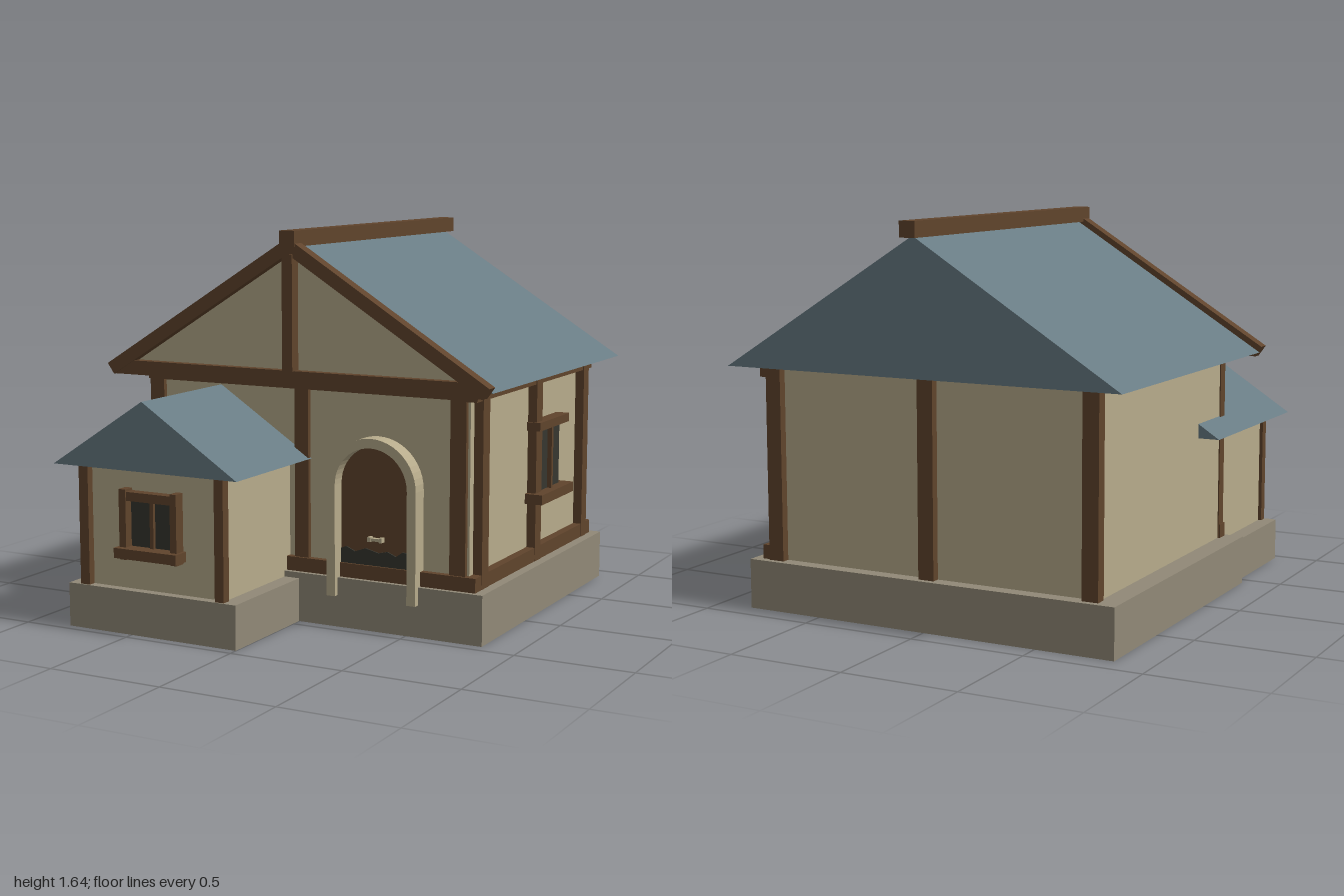
import * as THREE from 'three';

const mat = (name, color) => {
  const m = new THREE.MeshStandardMaterial({ color });
  m.name = name;
  return m;
};

export function createModel() {
  const plaster = mat('plaster', 0xb7ab8b);
  const stone = mat('stone', 0x918977);
  const wood = mat('timber', 0x60442c);
  const slate = mat('slate', 0x687b83);
  const glass = mat('darkGlass', 0x36362f);

  const house = new THREE.Group();
  house.name = 'house';

  const group = (name) => {
    const g = new THREE.Group();
    g.name = name;
    house.add(g);
    return g;
  };
  const add = (parent, name, geo, material) => {
    const m = new THREE.Mesh(geo, material);
    m.name = name;
    parent.add(m);
    return m;
  };
  // box given by its extents along x, y and z
  const box = (parent, name, material, x0, x1, y0, y1, z0, z1) => {
    const g = new THREE.BoxGeometry(x1 - x0, y1 - y0, z1 - z0);
    g.translate((x0 + x1) / 2, (y0 + y1) / 2, (z0 + z1) / 2);
    return add(parent, name, g, material);
  };
  // outline in x, y extruded from z0 to z1
  const prism = (parent, name, material, shape, z0, z1) => {
    const s = Array.isArray(shape) ? new THREE.Shape(shape.map(([x, y]) => new THREE.Vector2(x, y))) : shape;
    const g = new THREE.ExtrudeGeometry(s, { depth: z1 - z0, bevelEnabled: false, curveSegments: 12 });
    g.translate(0, 0, z0);
    return add(parent, name, g, material);
  };

  // Stone plinths
  const base = group('foundation');
  box(base, 'mainPlinth', stone, -0.84, 0.84, 0, 0.21, -0.905, 0.45);
  box(base, 'annexPlinth', stone, -0.81, 0, 0, 0.185, 0.4, 0.96);

  // Plaster walls
  const walls = group('walls');
  box(walls, 'mainWalls', plaster, -0.75, 0.76, 0.2, 1.04, -0.845, 0.4);
  box(walls, 'annexWalls', plaster, -0.74, -0.07, 0.18, 0.68, 0.35, 0.92);

  // Front timber frame
  const front = group('frontFrame');
  for (const [a, b] of [[-0.755, -0.685], [-0.035, 0.03], [0.68, 0.75]])
    box(front, 'frontPost', wood, a, b, 0.21, 1.03, 0.37, 0.42);
  box(front, 'frontTopBeam', wood, -0.76, 0.8, 0.985, 1.03, 0.375, 0.425);
  box(front, 'frontSillBeam', wood, -0.76, 0.8, 0.21, 0.27, 0.375, 0.43);

  // Right side timber frame
  const side = group('sideFrame');
  for (const [a, b] of [[0.3, 0.365], [-0.265, -0.2], [-0.82, -0.76]])
    box(side, 'sidePost', wood, 0.74, 0.8, 0.21, 1.03, a, b);
  box(side, 'sideTopBeam', wood, 0.74, 0.795, 0.98, 1.03, -0.87, 0.42);
  box(side, 'sideSillBeam', wood, 0.74, 0.798, 0.21, 0.27, -0.87, 0.42);

  // Back posts
  const back = group('backFrame');
  for (const x of [-0.725, 0, 0.725])
    box(back, 'backPost', wood, x - 0.035, x + 0.035, 0.21, 1.03, -0.88, -0.83);

  // Main roof with ridge beam
  const roof = group('mainRoof');
  prism(roof, 'roofBody', slate, [[-0.89, 1.03], [0.89, 1.03], [0, 1.586]], -0.96, 0.48);
  box(roof, 'ridgeBeam', wood, -0.035, 0.035, 1.58, 1.645, -1, 0.54);

  // Front gable: infill, tie beam, king post and barge boards
  const gable = group('frontGable');
  prism(gable, 'gableInfill', plaster, [[-0.83, 1.04], [0.83, 1.04], [0, 1.56]], 0.475, 0.49);
  box(gable, 'tieBeam', wood, -0.865, 0.865, 1.012, 1.073, 0.48, 0.53);
  box(gable, 'kingPost', wood, -0.024, 0.024, 1.07, 1.55, 0.48, 0.54);
  for (const s of [-1, 1]) {
    const pts = [[0, 1.55], [0.866 * s, 1.01], [0.898 * s, 1.055], [0, 1.615]];
    prism(gable, 'bargeBoard', wood, pts, 0.48, 0.535);
  }

  // Annex roof and corner posts
  const annex = group('annex');
  prism(annex, 'annexRoof', slate, [[-0.845, 0.692], [0.035, 0.692], [-0.405, 0.977]], 0.13, 1);
  for (const [a, b] of [[-0.755, -0.71], [-0.1, -0.058]])
    box(annex, 'annexPost', wood, a, b, 0.185, 0.695, 0.912, 0.953);

  // Annex window
  const win = group('annexWindow');
  box(win, 'pane', glass, -0.515, -0.295, 0.36, 0.565, 0.915, 0.93);
  for (const [a, b] of [[-0.545, -0.512], [-0.298, -0.268]])
    box(win, 'jamb', wood, a, b, 0.315, 0.607, 0.915, 0.97);
  box(win, 'lintel', wood, -0.54, -0.272, 0.56, 0.597, 0.915, 0.965);
  box(win, 'mullion', wood, -0.412, -0.395, 0.36, 0.565, 0.915, 0.945);
  box(win, 'sill', wood, -0.555, -0.255, 0.325, 0.367, 0.915, 0.997);

  // Right side window
  const sideWin = group('sideWindow');
  box(sideWin, 'pane', glass, 0.755, 0.79, 0.5, 0.785, -0.49, -0.26);
  box(sideWin, 'mullion', wood, 0.755, 0.81, 0.5, 0.785, -0.37, -0.352);
  box(sideWin, 'lintel', wood, 0.755, 0.82, 0.78, 0.817, -0.53, -0.19);
  box(sideWin, 'sill', wood, 0.755, 0.84, 0.465, 0.508, -0.54, -0.175);

  // Arched doorway
  const door = group('doorway');
  const cx = 0.35, spring = 0.605;
  const arched = (r, y0) => {
    const s = new THREE.Shape();
    s.moveTo(cx - r, y0);
    s.lineTo(cx + r, y0);
    s.lineTo(cx + r, spring);
    s.absarc(cx, spring, r, 0, Math.PI, false);
    s.closePath();
    return s;
  };
  prism(door, 'doorPanel', wood, arched(0.167, 0.21), 0.395, 0.415);

  const arch = new THREE.Shape();
  arch.moveTo(cx + 0.165, 0.135);
  arch.lineTo(cx + 0.205, 0.135);
  arch.lineTo(cx + 0.205, spring);
  arch.absarc(cx, spring, 0.205, 0, Math.PI, false);
  arch.lineTo(cx - 0.205, 0.135);
  arch.lineTo(cx - 0.165, 0.135);
  arch.lineTo(cx - 0.165, spring);
  arch.absarc(cx, spring, 0.165, Math.PI, 0, true);
  arch.closePath();
  prism(door, 'doorArch', plaster, arch, 0.39, 0.475);

  // Ragged dark strip at the foot of the door, and a small pale handle
  const ragged = [[0.185, 0.265], [0.515, 0.265], [0.515, 0.335], [0.47, 0.34], [0.44, 0.318], [0.4, 0.335],
    [0.36, 0.325], [0.3, 0.34], [0.25, 0.322], [0.21, 0.34], [0.185, 0.33]];
  prism(door, 'footPlate', glass, ragged, 0.414, 0.421);
  box(door, 'handle', plaster, 0.332, 0.37, 0.376, 0.388, 0.41, 0.435);
  for (const x of [0.325, 0.377])
    box(door, 'handleEnd', plaster, x - 0.007, x + 0.007, 0.373, 0.393, 0.41, 0.44);

  return house;
}
